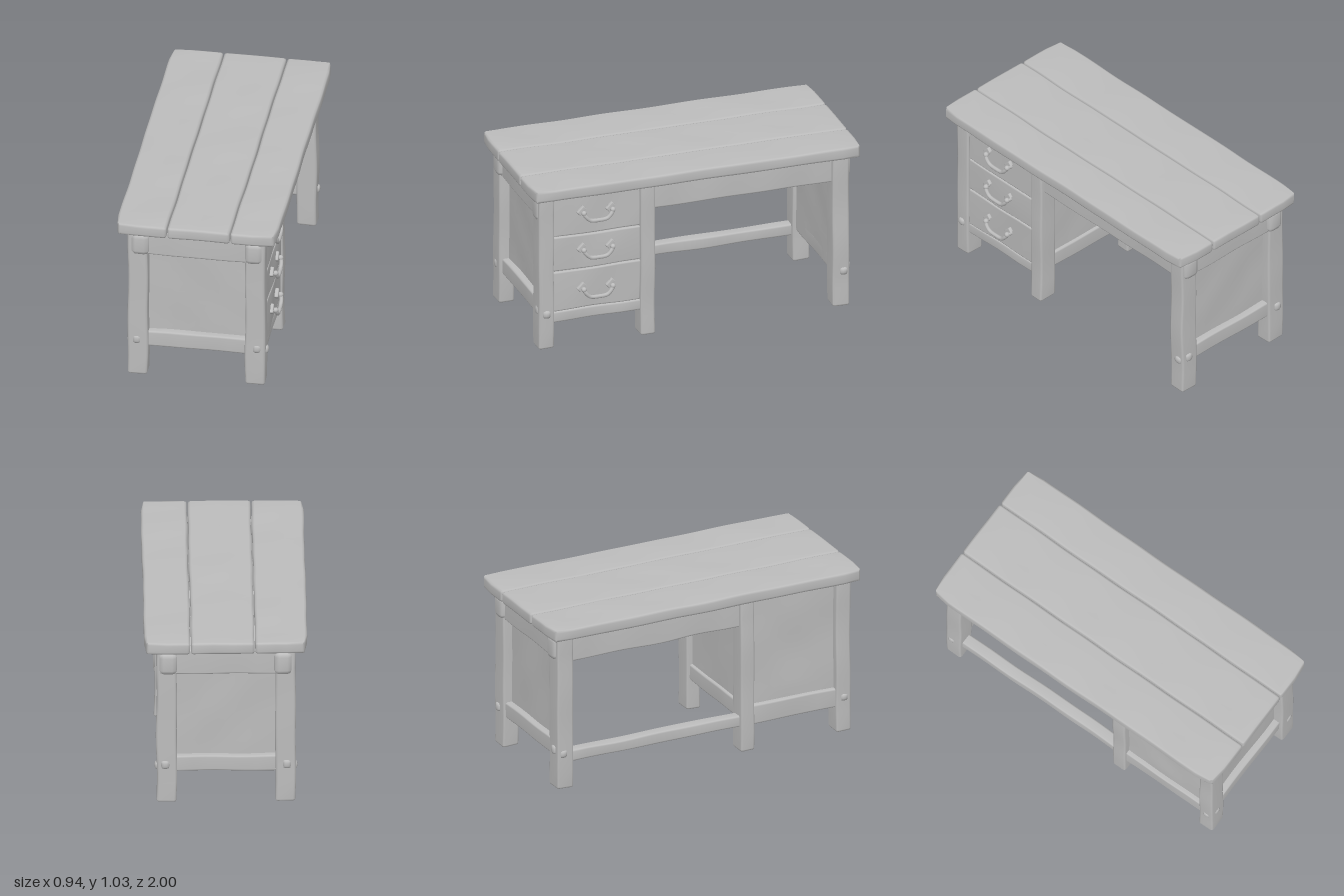
import * as THREE from 'three';
import { mergeVertices } from 'three/addons/utils/BufferGeometryUtils.js';

const wood = new THREE.MeshStandardMaterial({ color: 0xbcbcbc });
wood.name = 'grey wood';

// Smooth, repeatable unevenness of hand-hewn timber
const wobble = (a, b, c) => Math.sin(a * 13 + b * 5 + 1) * Math.sin(b * 11 - c * 7 + 2) + 0.5 * Math.sin(c * 19 + a * 9 + b * 4);

// Softly bevelled, slightly uneven timber filling the given ranges
function timber(name, [x0, x1], [y0, y1], [z0, z1], bevel = 0.012, amp = 0.003) {
  const size = [x1 - x0, y1 - y0, z1 - z0];
  const mid = [(x0 + x1) / 2, (y0 + y1) / 2, (z0 + z1) / 2];
  const n = size.map((s) => Math.max(3, Math.round(s / 0.06)));
  const r = Math.min(bevel, Math.min(...size) * 0.35);
  let geo = new THREE.BoxGeometry(...size, ...n);
  geo.deleteAttribute('normal');
  geo.deleteAttribute('uv');
  geo = mergeVertices(geo);
  const pos = geo.attributes.position;
  for (let i = 0; i < pos.count; i++) {
    const p = [pos.getX(i), pos.getY(i), pos.getZ(i)];
    const inner = [], d = new THREE.Vector3();
    p.forEach((v, k) => {
      const h = size[k] / 2, step = Math.round((v / size[k] + 0.5) * n[k]);
      // The outermost grid lines mark where the bevel starts
      if (step === 1) v = r - h;
      if (step === n[k] - 1) v = h - r;
      inner[k] = Math.min(h - r, Math.max(r - h, v));
      d.setComponent(k, v - inner[k]);
    });
    d.setLength(r);
    const [x, y, z] = inner.map((v, k) => v + d.getComponent(k) + mid[k]);
    // Clip the outer corners of the table top
    const cut = Math.max(0, Math.abs(x) + Math.abs(z) - 1.428) / 2;
    pos.setXYZ(i,
      x - Math.sign(x) * cut + amp * wobble(y, z, x),
      Math.max(0, y + amp * wobble(z, x, y)),
      z - Math.sign(z) * cut + amp * 0.5 * wobble(x, y, z));
  }
  geo.computeVertexNormals();
  const mesh = new THREE.Mesh(geo, wood);
  mesh.name = name;
  return mesh;
}

// Sagging drawer pull with two diamond mounting plates
function drawerHandle(y) {
  const handle = new THREE.Group();
  handle.name = 'drawerHandle';
  const path = new THREE.CatmullRomCurve3([
    [0.385, 0, 0.093], [0.412, 0, 0.09], [0.42, -0.02, 0.078], [0.421, -0.045, 0.052],
    [0.422, -0.05, 0], [0.421, -0.045, -0.052], [0.42, -0.02, -0.078], [0.412, 0, -0.09], [0.385, 0, -0.093],
  ].map((p) => new THREE.Vector3(...p)));
  const bar = new THREE.Mesh(new THREE.TubeGeometry(path, 40, 0.012, 8), wood);
  bar.name = 'handleBar';
  handle.add(bar);
  for (const s of [-1, 1]) {
    const plate = timber('handlePlate', [-0.012, 0.012], [-0.028, 0.028], [-0.028, 0.028], 0.006, 0);
    plate.rotation.x = Math.PI / 4;
    plate.position.set(0.394, 0.003, s * 0.088);
    handle.add(plate);
    const knob = new THREE.Mesh(new THREE.SphereGeometry(0.016, 10, 8), wood);
    knob.name = 'handleKnob';
    knob.position.set(0.415, 0, s * 0.088);
    handle.add(knob);
  }
  handle.position.set(0, y, 0.595);
  return handle;
}

export function createModel() {
  const desk = new THREE.Group();
  desk.name = 'desk';
  const add = (...args) => desk.add(timber(...args));

  // Three-plank top
  for (const range of [[-0.469, -0.17], [-0.165, 0.198], [0.203, 0.467]]) {
    add('topPlank', range, [0.952, 1.025], [-0.999, 0.999], 0.016, 0.002);
  }

  // Six legs
  for (const s of [-1, 1]) {
    const legX = s > 0 ? [0.28, 0.397] : [-0.403, -0.286];
    for (const z of [[0.855, 0.95], [0.24, 0.33], [-0.943, -0.84]]) add('leg', legX, [0, 0.96], z, 0.014);
  }

  // Panelled ends with rails, rail ends and pegs
  for (const s of [-1, 1]) {
    const z = (a, b) => (s > 0 ? [a, b] : [-b, -a]);
    add('endPanel', [-0.3, 0.3], [0.2, 0.95], z(0.862, 0.89), 0.005, 0.006);
    add('endTopRail', [-0.3, 0.3], [0.8, 0.955], z(0.862, 0.935));
    add('endBottomRail', [-0.3, 0.3], [0.187, 0.285], z(0.862, 0.93));
    for (const t of [-1, 1]) {
      const x = (a, b) => (t > 0 ? [a, b] : [-b, -a]);
      add('railEnd', x(0.275, 0.385), [0.8, 0.94], z(0.87, 0.96), 0.03);
      add('legPeg', x(0.325, 0.375), [0.21, 0.265], z(0.9, 0.956), 0.018);
      add('legPeg', x(0.36, 0.41), [0.195, 0.245], z(0.88, 0.93), 0.018);
    }
  }

  // Long aprons, the board closing them underneath, and the low stretcher
  for (const x of [[0.31, 0.372], [-0.378, -0.316]]) add('apron', x, [0.778, 0.955], [-0.86, 0.26]);
  add('apronFloor', [-0.34, 0.34], [0.785, 0.805], [-0.88, 0.28], 0.004, 0.001);
  add('stretcher', [-0.38, -0.31], [0.152, 0.222], [-0.86, 0.26]);

  // Drawer cabinet: floor, inner side, back and bottom rails
  add('cabinetFloor', [-0.35, 0.35], [0.192, 0.215], [0.28, 0.9], 0.006, 0.002);
  add('cabinetSide', [-0.3, 0.3], [0.2, 0.95], [0.275, 0.3], 0.005, 0.004);
  add('cabinetSideRail', [-0.3, 0.3], [0.187, 0.285], [0.258, 0.32]);
  add('cabinetBack', [-0.36, -0.335], [0.2, 0.955], [0.32, 0.87], 0.005, 0.004);
  add('cabinetBackRail', [-0.388, -0.32], [0.155, 0.275], [0.32, 0.87]);
  add('cabinetFrontFrame', [0.34, 0.372], [0.17, 0.955], [0.32, 0.87], 0.005, 0.002);
  add('cabinetFrontRail', [0.32, 0.382], [0.155, 0.224], [0.32, 0.87]);

  // Three drawers with pulls
  for (const [y0, y1, pull] of [[0.69, 0.95, 0.83], [0.475, 0.686, 0.597], [0.226, 0.47, 0.35]]) {
    add('drawerFront', [0.345, 0.386], [y0, y1], [0.328, 0.858], 0.01, 0.004);
    desk.add(drawerHandle(pull));
  }
  return desk;
}
